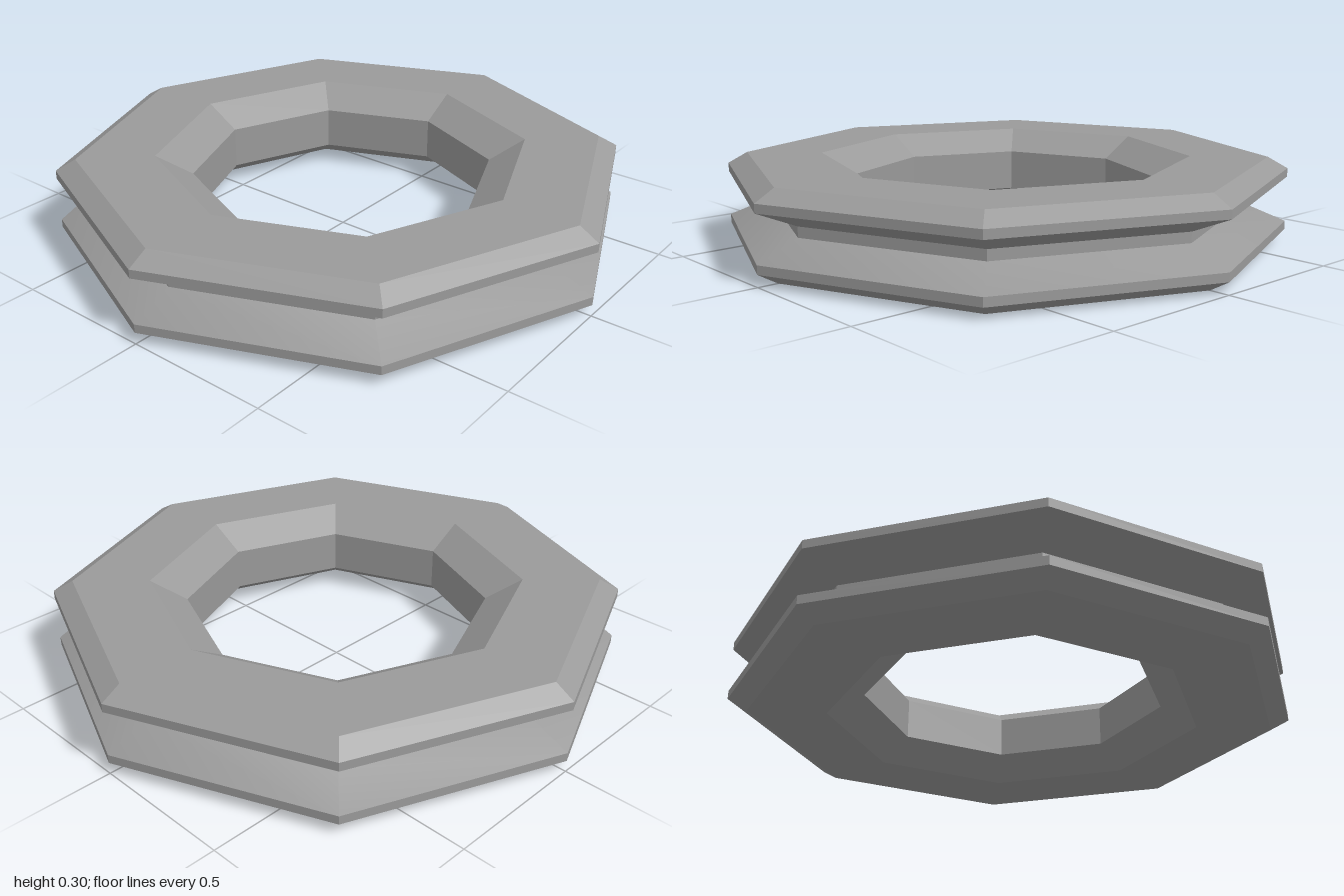
import * as THREE from 'three';
import { toCreasedNormals } from 'three/addons/utils/BufferGeometryUtils.js';

const HEIGHT = 0.3;

export function createModel() {
  // Lower half of the ring's cross-section as [radius, height], from bore to groove
  const lower = [
    [0.53, 0.075], // bore
    [0.657, 0], // inner bevel
    [0.93, 0], // flat face
    [1, 0.04], // outer bevel
    [1, 0.07], // rim
    [0.854, 0.132], // groove floor
  ];
  // Mirror upwards and close the loop
  const upper = lower.map(([r, y]) => [r, HEIGHT - y]).reverse();
  const profile = [...lower, ...upper, lower[0]].map(([r, y]) => new THREE.Vector2(r, y));

  // Eight-sided ring: hard facets, softly blended groove walls
  const geometry = toCreasedNormals(new THREE.LatheGeometry(profile, 8), THREE.MathUtils.degToRad(20));
  const ring = new THREE.Mesh(geometry, new THREE.MeshStandardMaterial({ color: 0x9a9a9a }));
  ring.name = 'groovedRing';

  const model = new THREE.Group();
  model.name = 'octagonalGroovedRing';
  model.add(ring);
  return model;
}
